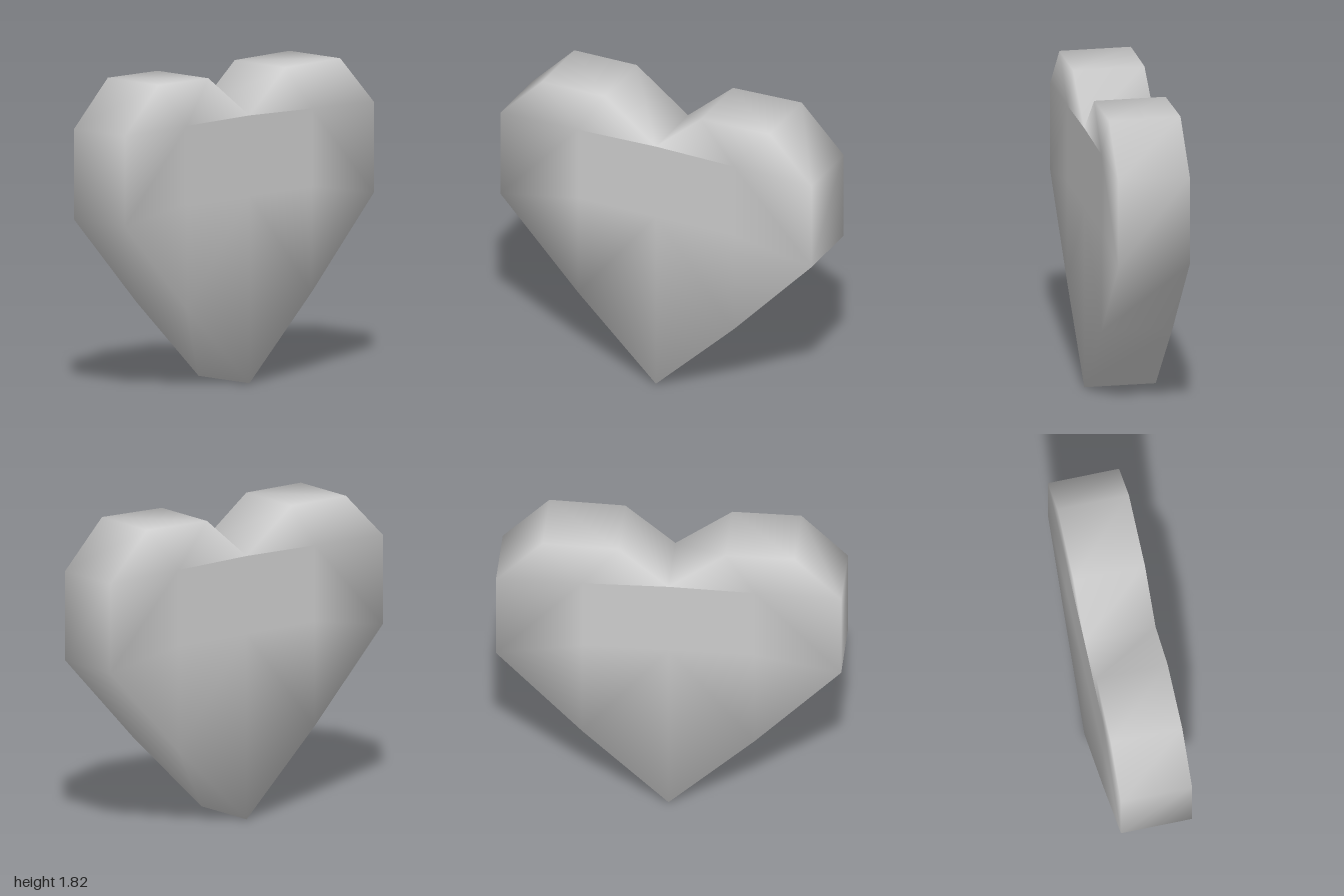
import * as THREE from 'three';

const HALF_DEPTH = 0.21;

// Heart outline, counter-clockwise from the bottom tip
const rim = [
  [0, 0], [0.5, 0.48], [1, 1.01], [1, 1.54], [0.73, 1.82], [0.29, 1.81],
  [0, 1.56], [-0.33, 1.81], [-0.73, 1.81], [-1, 1.54], [-1, 1.01], [-0.5, 0.48],
];
// Inner points of each face; the last repeats the notch so the middle band stays flat
const inner = [[0.5, 1.1], [0.5, 1.55], [-0.5, 1.55], [-0.5, 1.1], [0, 1.1], [0, 1.56]];

// Panels of one face: lower point, sides, lobes and middle band
const panels = [
  [0, 1, 16], [0, 16, 11], [1, 12, 16], [1, 2, 12], [11, 16, 15], [10, 11, 15],
  [2, 3, 13, 12], [10, 15, 14, 9],
  [3, 4, 13], [4, 5, 13], [5, 6, 13], [9, 14, 8], [8, 14, 7], [7, 14, 6],
  [12, 13, 17, 16], [16, 17, 14, 15],
];

function heartGeometry() {
  const points = [...rim, ...inner];
  const n = points.length;
  const positions = [];
  for (const z of [HALF_DEPTH, -HALF_DEPTH]) {
    for (const [x, y] of points) positions.push(x, y, z);
  }

  const index = [];
  // Front and back faces
  for (const p of panels) {
    for (let k = 1; k < p.length - 1; k++) {
      index.push(p[0], p[k], p[k + 1]);
      index.push(n + p[0], n + p[k + 1], n + p[k]);
    }
  }
  // Side wall
  for (let i = 0; i < rim.length; i++) {
    const j = (i + 1) % rim.length;
    index.push(i, n + i, n + j, i, n + j, j);
  }

  const geometry = new THREE.BufferGeometry();
  geometry.setAttribute('position', new THREE.Float32BufferAttribute(positions, 3));
  geometry.setIndex(index);
  geometry.computeVertexNormals(); // shared rim points give soft shading
  return geometry;
}

export function createModel() {
  const group = new THREE.Group();
  group.name = 'heartModel';
  const heart = new THREE.Mesh(
    heartGeometry(),
    new THREE.MeshStandardMaterial({ color: 0xcccccc })
  );
  heart.name = 'heart';
  group.add(heart);
  return group;
}
